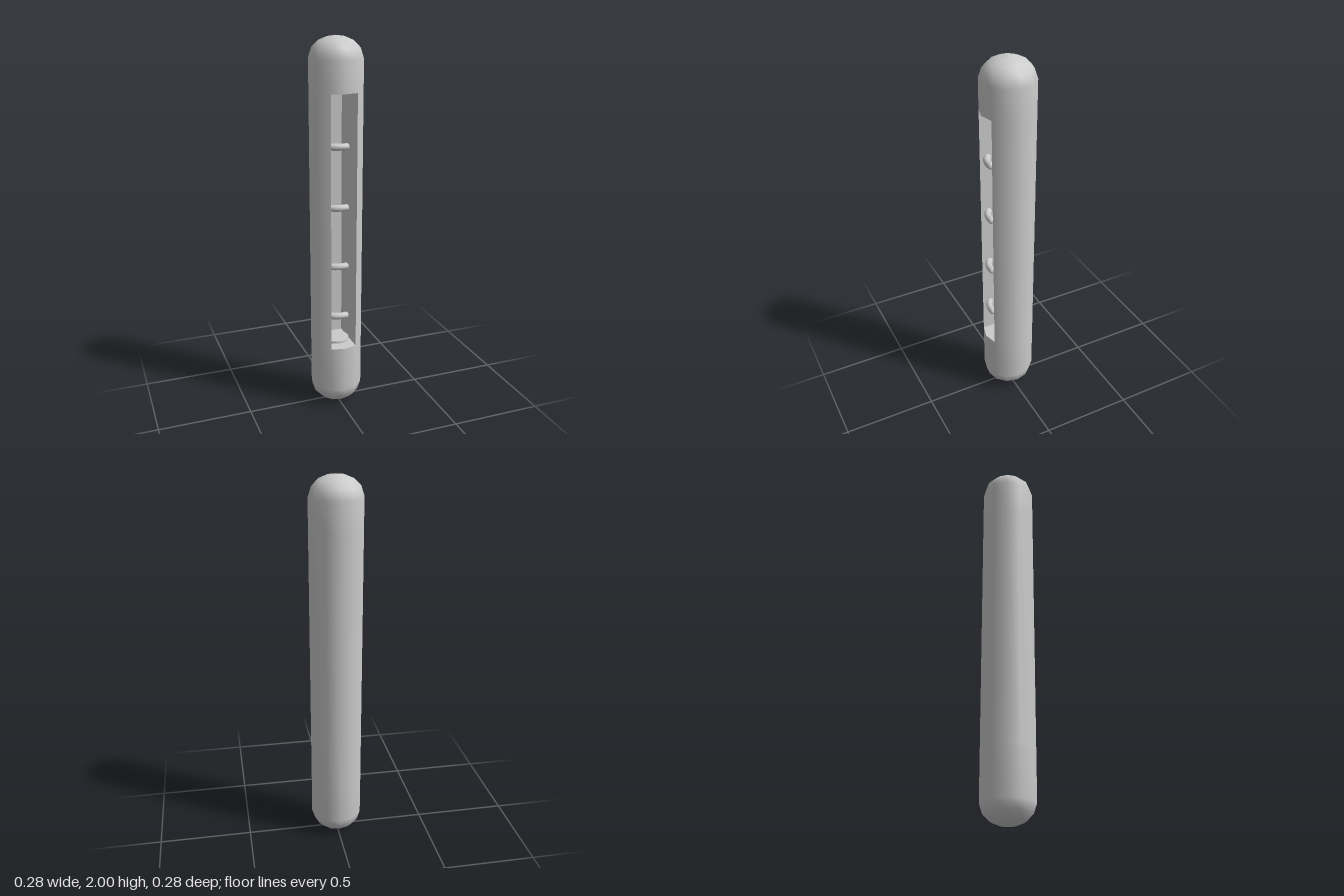
import * as THREE from 'three';

const R = 0.14, SIDES = 12;
const LOW = 0.362, HIGH = 1.73;      // slot bottom and top
const HALF = 0.07, BACK = -0.1;      // slot half width and back wall

export function createModel() {
  const model = new THREE.Group();
  const grey = new THREE.MeshStandardMaterial({ color: 0xcccccc });
  const add = (name, geometry, parent = model) => {
    const mesh = new THREE.Mesh(geometry, grey);
    mesh.name = name;
    parent.add(mesh);
    return mesh;
  };
  const v2 = (x, y) => new THREE.Vector2(x, y);

  // Rounded ends, given as radius and distance from the tip
  const dome = [[0, 0], [0.045, 0.006], [0.09, 0.025], [0.123, 0.058], [R, 0.11]];
  add('lowerBody', new THREE.LatheGeometry(
    [...dome.map(([r, d]) => v2(r, d)), v2(R, LOW)], SIDES));
  add('upperBody', new THREE.LatheGeometry(
    [v2(R, HIGH), ...dome.slice().reverse().map(([r, d]) => v2(r, 2 - d))], SIDES));

  // Middle of the body, with the two front facets left open
  add('middleBody', new THREE.LatheGeometry(
    [v2(R, LOW), v2(R, HIGH)], SIDES - 2, Math.PI / 6, Math.PI * 5 / 3));

  // Slot walls
  const front = R * Math.cos(Math.PI / 6);
  const height = HIGH - LOW, midY = (LOW + HIGH) / 2;
  for (const side of [-1, 1]) {
    const wall = add(side > 0 ? 'leftSlotWall' : 'rightSlotWall',
      new THREE.PlaneGeometry(front - BACK, height));
    wall.position.set(side * HALF, midY, (front + BACK) / 2);
    wall.rotation.y = -side * Math.PI / 2;
  }
  add('backSlotWall', new THREE.PlaneGeometry(2 * HALF, height)).position.set(0, midY, BACK);

  // Slot floor and ceiling, pointed at the front like the body
  const outline = [v2(-HALF, BACK), v2(HALF, BACK), v2(HALF, front), v2(0, R), v2(-HALF, front)];
  const ceiling = add('slotCeiling', new THREE.ShapeGeometry(new THREE.Shape(outline)));
  ceiling.rotation.x = Math.PI / 2;
  ceiling.position.y = HIGH;
  const floor = add('slotFloor', new THREE.ShapeGeometry(
    new THREE.Shape(outline.map(p => v2(p.x, -p.y)))));
  floor.rotation.x = -Math.PI / 2;
  floor.position.y = LOW;

  // Low disc on the slot floor
  add('floorDisc', new THREE.CylinderGeometry(HALF, HALF, 0.012, 24)).position.y = LOW + 0.006;

  // Curved pegs reaching out of the right slot wall
  const bend = 0.105, thick = 0.018, start = -0.76, end = 0.19;
  const arc = [];
  for (let i = 0; i <= 6; i++) {
    const a = start + (end - start) * i / 6;
    arc.push(new THREE.Vector3(bend * Math.sin(a), 0, bend * Math.cos(a)));
  }
  const pegGeometry = new THREE.TubeGeometry(new THREE.CatmullRomCurve3(arc), 10, thick, 12);
  const tipGeometry = new THREE.SphereGeometry(thick, 12, 8);
  for (const y of [0.545, 0.828, 1.148, 1.465]) {
    const peg = new THREE.Group();
    peg.name = 'peg';
    peg.position.y = y;
    add('pegArc', pegGeometry, peg);
    const tip = add('pegTip', tipGeometry, peg);
    tip.position.copy(arc[6]);
    tip.rotation.y = end;
    tip.scale.x = 0.7;
    model.add(peg);
  }
  return model;
}
